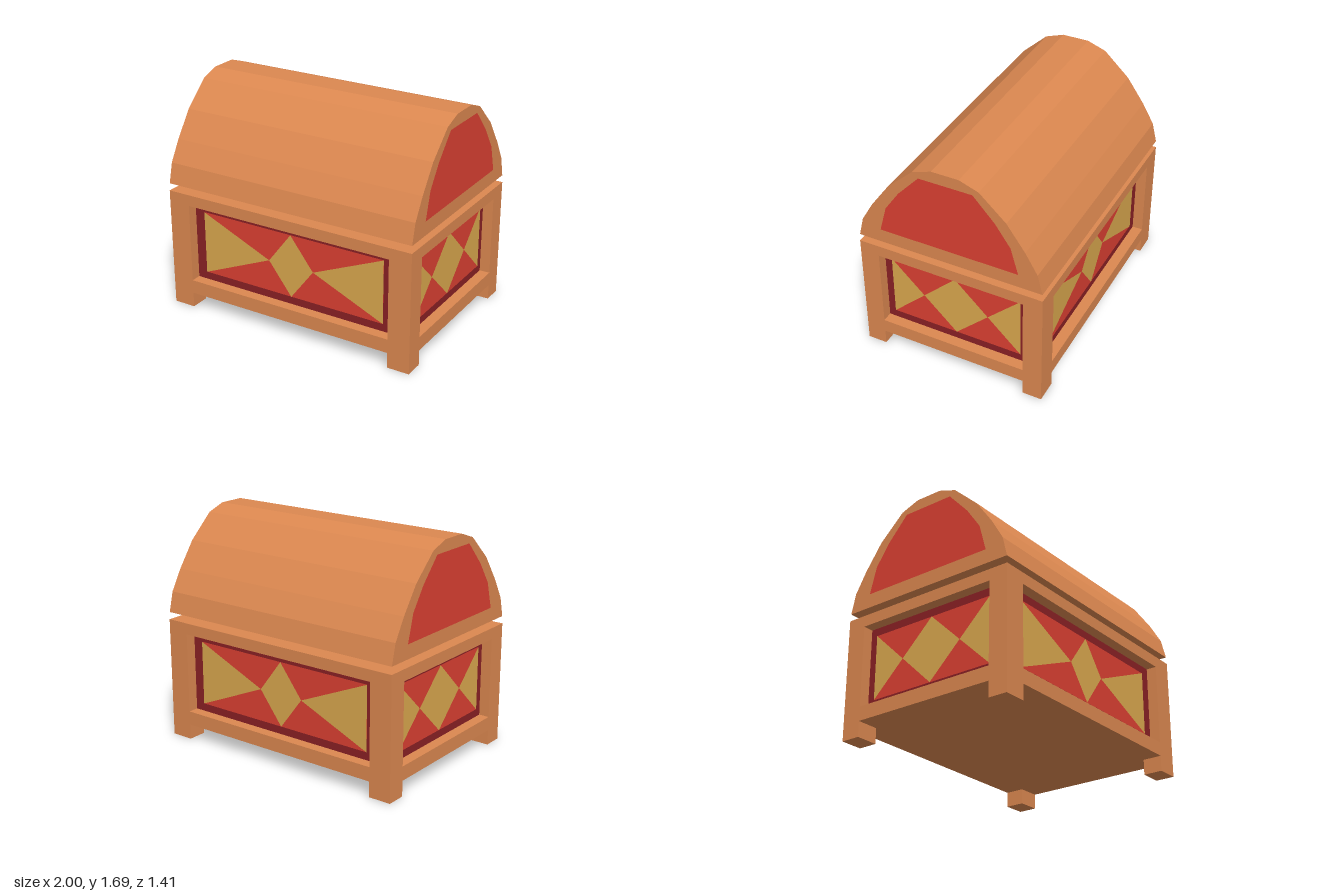
import * as THREE from 'three';

const mat = (color) => new THREE.MeshStandardMaterial({ color, flatShading: true });
const wood = mat(0xdc8850), red = mat(0xdc4032), maroon = mat(0x8a2024), gold = mat(0xdaa84e);

const HX = 1, HZ = 0.705;           // half width and half depth
const POST_X = 0.17, POST_Z = 0.145; // corner post section
const RECESS = 0.08;

function add(parent, name, geometry, material, x = 0, y = 0, z = 0) {
  const mesh = new THREE.Mesh(geometry, material);
  mesh.name = name;
  mesh.position.set(x, y, z);
  parent.add(mesh);
  return mesh;
}

// Box given by its size and the height range it fills
function block(parent, name, w, y0, y1, d, material, x = 0, z = 0) {
  return add(parent, name, new THREE.BoxGeometry(w, y1 - y0, d), material, x, (y0 + y1) / 2, z);
}

const polygon = (points) => new THREE.Shape(points.map(([x, y]) => new THREE.Vector2(x, y)));

// Inlaid panel: red field, a central diamond and a triangle at each end
function inlay(name, halfWidth, apex) {
  const group = new THREE.Group();
  group.name = name;
  const h = 0.243;
  add(group, 'field', new THREE.PlaneGeometry(halfWidth * 2, h * 2), red, 0, 0, 0.002);
  const pieces = [
    polygon([[-apex, 0], [0, -h], [apex, 0], [0, h]]),
    polygon([[-halfWidth, -h], [-apex, 0], [-halfWidth, h]]),
    polygon([[halfWidth, -h], [halfWidth, h], [apex, 0]]),
  ];
  add(group, 'goldInlay', new THREE.ShapeGeometry(pieces), gold, 0, 0, 0.004);
  return group;
}

// Symmetric outline from its right half, listed bottom to top
const mirrored = (half) => polygon([...half, ...half.map(([x, y]) => [-x, y]).reverse()]);

function createBody() {
  const body = new THREE.Group();
  body.name = 'body';
  block(body, 'bottomFrame', HX * 2, 0.115, 0.22, HZ * 2, wood);
  block(body, 'topFrame', HX * 2, 0.825, 0.91, HZ * 2, wood);
  block(body, 'panelBacking', (HX - RECESS) * 2, 0.22, 0.825, (HZ - RECESS) * 2, maroon);

  // Corner posts and feet
  for (const sx of [-1, 1]) for (const sz of [-1, 1]) {
    const x = sx * (HX - POST_X / 2), z = sz * (HZ - POST_Z / 2);
    block(body, 'foot', POST_X, 0, 0.115, POST_Z, wood, x, z);
    block(body, 'cornerPost', POST_X, 0.22, 0.825, POST_Z, wood, x, z);
  }

  // Inlaid panels on all four sides
  ['front', 'left', 'back', 'right'].forEach((side, i) => {
    const long = i % 2 === 0;
    const panel = long ? inlay(side + 'Panel', 0.75, 0.185) : inlay(side + 'Panel', 0.505, 0.252);
    const angle = i * Math.PI / 2, distance = (long ? HZ : HX) - RECESS;
    panel.rotation.y = angle;
    panel.position.set(Math.sin(angle) * distance, 0.522, Math.cos(angle) * distance);
    body.add(panel);
  });
  return body;
}

function createLid() {
  const lid = new THREE.Group();
  lid.name = 'lid';
  const length = HX * 2 - 0.004;
  const outline = mirrored([[0.702, 0.965], [0.665, 1.115], [0.575, 1.27], [0.44, 1.46], [0.245, 1.64], [0.102, 1.69]]);
  const vault = new THREE.ExtrudeGeometry(outline, { depth: length, bevelEnabled: false });
  vault.translate(0, 0, -length / 2).rotateY(Math.PI / 2);
  add(lid, 'vault', vault, wood);

  // Red field on each end
  const field = mirrored([[0.525, 1.07], [0.47, 1.27], [0.36, 1.43], [0.2, 1.605]]);
  for (const s of [-1, 1]) {
    const panel = add(lid, 'endPanel', new THREE.ShapeGeometry(field), red, s * HX);
    panel.rotation.y = s * Math.PI / 2;
  }
  return lid;
}

export function createModel() {
  const chest = new THREE.Group();
  chest.name = 'chest';
  chest.add(createBody(), createLid());
  return chest;
}
